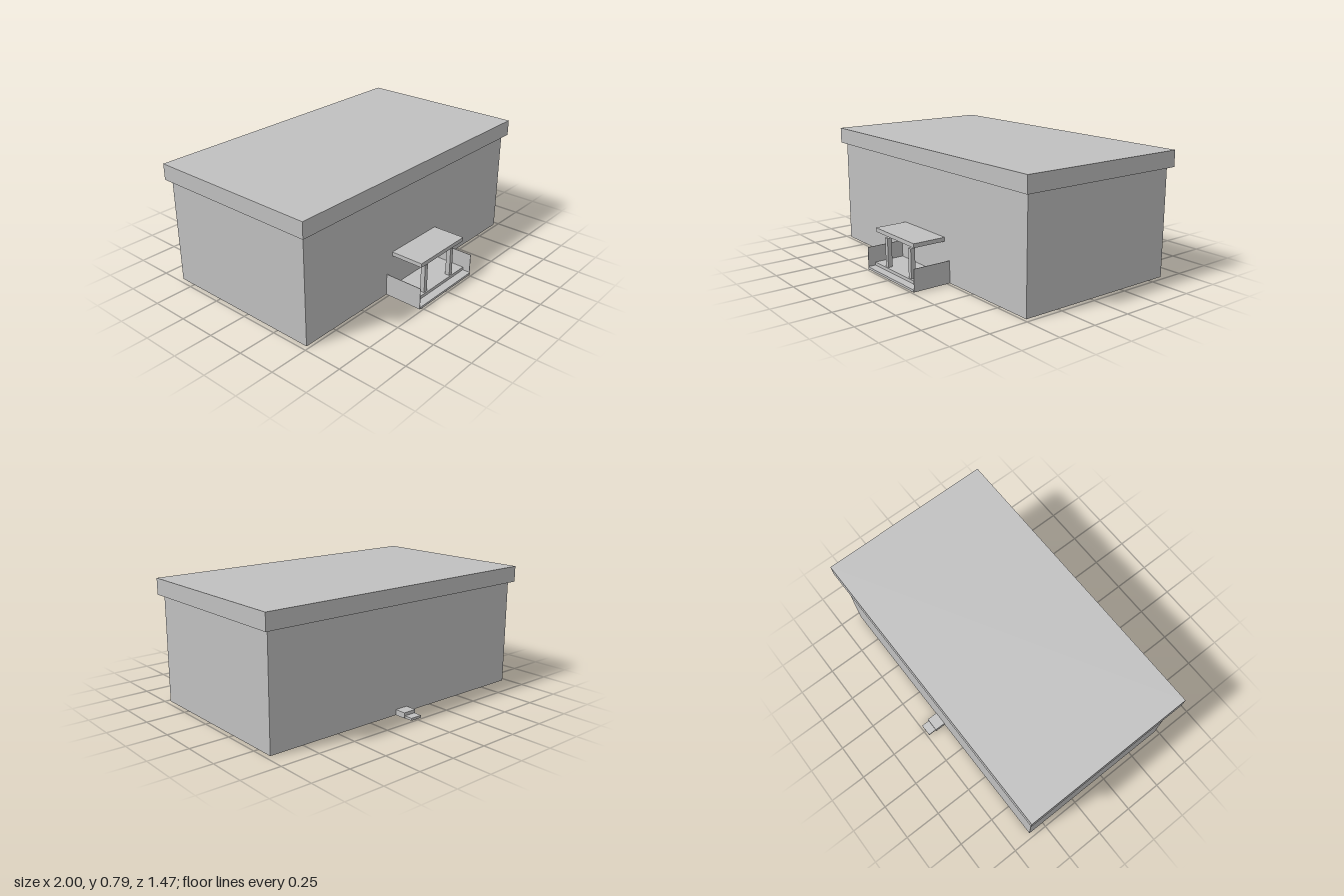
import * as THREE from 'three';

export function createModel() {
  const model = new THREE.Group();
  model.name = 'building';
  const grey = new THREE.MeshStandardMaterial({ color: 0xc0c0c0 });
  grey.name = 'plain grey';

  // Box given by its limits on each axis
  function block(name, [x0, x1], [y0, y1], [z0, z1], parent = model) {
    const mesh = new THREE.Mesh(new THREE.BoxGeometry(x1 - x0, y1 - y0, z1 - z0), grey);
    mesh.position.set((x0 + x1) / 2, (y0 + y1) / 2, (z0 + z1) / 2);
    mesh.name = name;
    parent.add(mesh);
  }

  // Main volume and overhanging flat roof
  block('walls', [-0.97, 0.97], [0, 0.69], [-0.61, 0.48]);
  block('roof', [-1, 1], [0.69, 0.793], [-0.64, 0.51]);

  // Front porch: two steps, canopy, posts and thin side walls
  const porch = new THREE.Group();
  porch.name = 'porch';
  model.add(porch);
  block('porchLowerStep', [-0.264, 0.264], [0, 0.015], [0.48, 0.737], porch);
  block('porchFloor', [-0.268, 0.268], [0, 0.035], [0.48, 0.683], porch);
  block('porchCanopy', [-0.218, 0.218], [0.25, 0.276], [0.48, 0.698], porch);
  for (const s of [-1, 1]) {
    const x = s * 0.133, w = s * 0.266;
    block(s > 0 ? 'leftPost' : 'rightPost', [x - 0.014, x + 0.014], [0.035, 0.223], [0.645, 0.675], porch);
    block(s > 0 ? 'leftSideWall' : 'rightSideWall', [w - 0.002, w + 0.002], [0, 0.142], [0.48, 0.733], porch);
  }

  // Small steps at the back
  block('backUpperStep', [-0.046, 0.046], [0, 0.035], [-0.682, -0.61]);
  block('backLowerStep', [-0.04, 0.04], [0, 0.015], [-0.737, -0.61]);

  return model;
}
